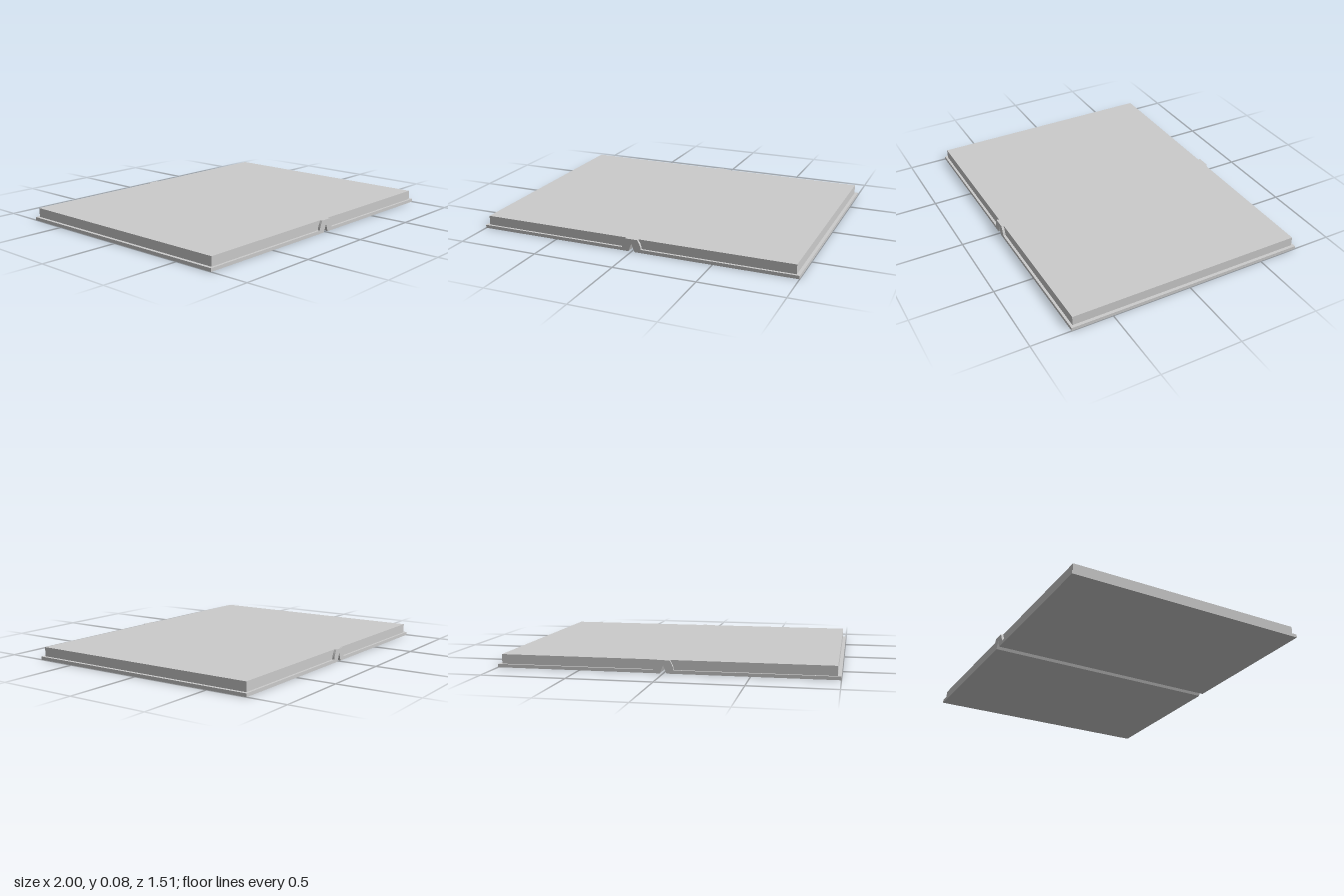
import * as THREE from 'three';

const COVER_Y = 0.02, TOP_Y = 0.077;
// Right-hand outline of the raised spine, from the cover up to the page tops
const SPINE_SIDE = [[0.06, COVER_Y], [0.057, 0.037], [0.05, 0.056], [0.038, TOP_Y]];
const mirrored = (pts) => pts.map(([x, y]) => [-x, y]).reverse();

// Extrudes an x-y outline along z, centred on z = 0
function slab(name, points, depth, material) {
  const shape = new THREE.Shape(points.map(([x, y]) => new THREE.Vector2(x, y)));
  const geometry = new THREE.ExtrudeGeometry(shape, { depth, bevelEnabled: false });
  geometry.translate(0, 0, -depth / 2);
  const mesh = new THREE.Mesh(geometry, material);
  mesh.name = name;
  return mesh;
}

export function createModel() {
  const group = new THREE.Group();
  group.name = 'openBook';
  const material = new THREE.MeshStandardMaterial({ color: 0xcccccc, flatShading: true });

  // Cover: two boards joined by a raised spine with a V groove beneath
  const half = [[0.02, 0], [1, 0], [1, COVER_Y], ...SPINE_SIDE];
  group.add(slab('cover', [[0, 0.048], ...half, ...mirrored(half)], 1.51, material));

  // Page blocks, fitted against each side of the spine
  const pages = [[0.98, COVER_Y], [0.98, TOP_Y], ...[...SPINE_SIDE].reverse()];
  group.add(slab('leftPages', pages, 1.48, material));
  group.add(slab('rightPages', mirrored(pages), 1.48, material));

  return group;
}
